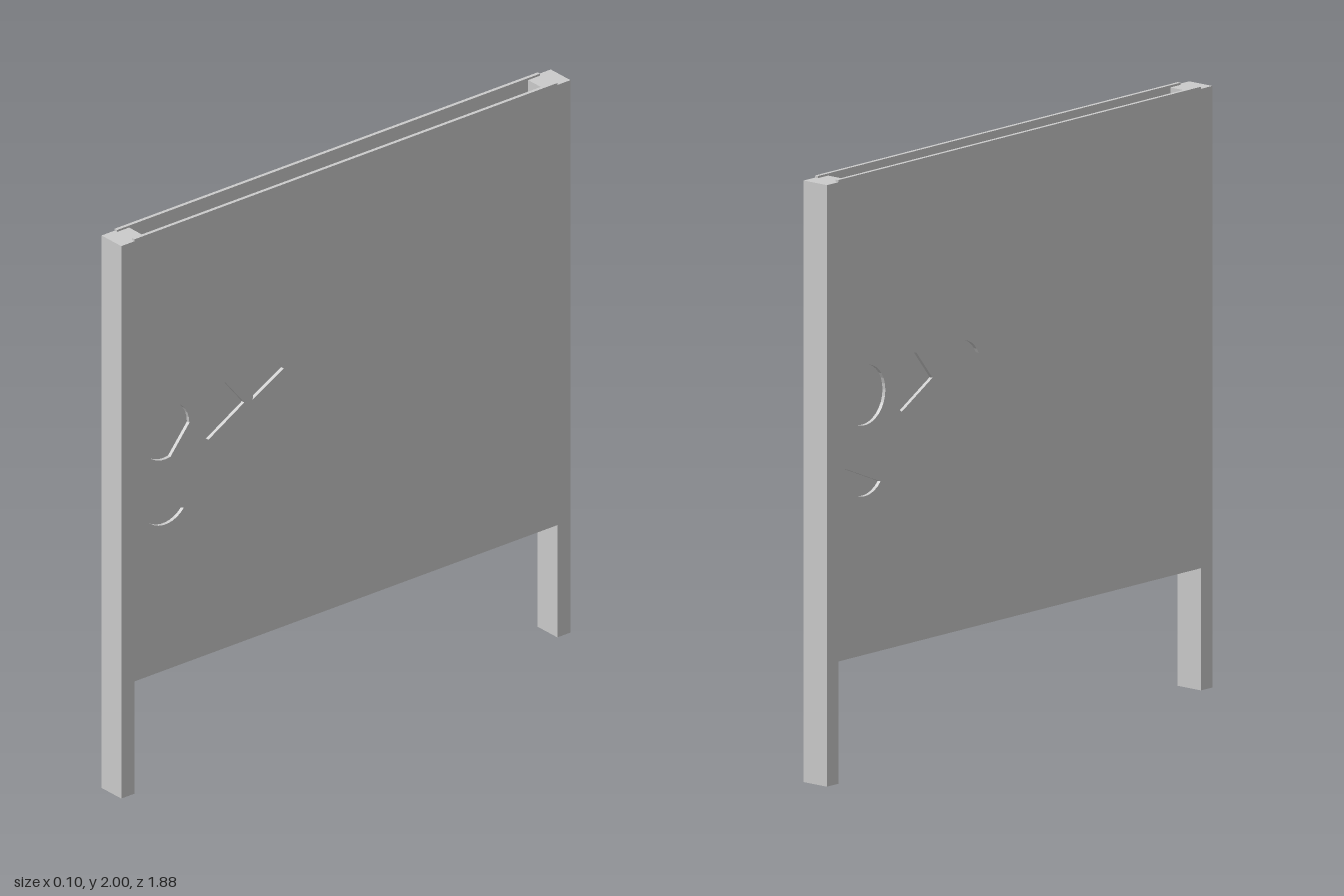
import * as THREE from 'three';

const HALF_X = 0.05, WALL = 0.0125;      // board half thickness, side sheet thickness
const END = 0.94, INNER = 0.885;         // outer end and inner face of the posts
const BOTTOM = 0.405, TOP = 2, POST_TOP = 1.993;
const RAD = Math.PI / 180;

const material = new THREE.MeshStandardMaterial({ color: 0xcccccc, flatShading: true });

function box(name, w, h, d, x, y, z) {
  const mesh = new THREE.Mesh(new THREE.BoxGeometry(w, h, d), material);
  mesh.name = name;
  mesh.position.set(x, y, z);
  return mesh;
}

// Cut-out bounded by an arc (degrees, counter-clockwise) and a straight chord,
// with optional extra corners along the chord
function cutout({ c, from, to, corners = [] }) {
  const points = [];
  const steps = Math.ceil((to - from) / 12);
  for (let i = 0; i <= steps; i++) {
    const a = (from + (to - from) * i / steps) * RAD;
    points.push(new THREE.Vector2(c[0] + 0.1 * Math.cos(a), c[1] + 0.1 * Math.sin(a)));
  }
  corners.forEach(([x, y]) => points.push(new THREE.Vector2(x, y)));
  return new THREE.Path(points);
}

// Side sheet facing +x, pierced by the given cut-outs
function sidePanel(name, cutouts) {
  const shape = new THREE.Shape([
    new THREE.Vector2(-INNER, BOTTOM), new THREE.Vector2(INNER, BOTTOM),
    new THREE.Vector2(INNER, TOP), new THREE.Vector2(-INNER, TOP),
  ]);
  shape.holes = cutouts.map(cutout);
  const geometry = new THREE.ExtrudeGeometry(shape, { depth: WALL, bevelEnabled: false });
  geometry.rotateY(Math.PI / 2).translate(HALF_X - WALL, 0, 0);
  const mesh = new THREE.Mesh(geometry, material);
  mesh.name = name;
  return mesh;
}

export function createModel() {
  const model = new THREE.Group();
  model.name = 'hollowBoard';

  // Cut-outs shared by both sides
  const shared = [
    { c: [-0.525, 1.265], from: 78, to: 240, corners: [[-0.425, 1.265]] },
    { c: [-0.755, 1.03], from: 175, to: 320 },
  ];

  // Two side sheets, each with its cut-outs at its own left
  model.add(sidePanel('rightPanel', [
    { c: [-0.755, 1.265], from: 0, to: 282 }, ...shared,
    { c: [-0.29, 1.265], from: 85, to: 180, corners: [[-0.26, 1.335]] },
  ]));
  const other = sidePanel('leftPanel', [
    { c: [-0.755, 1.265], from: 0, to: 348 }, ...shared,
    { c: [-0.29, 1.265], from: 25, to: 110 },
  ]);
  other.rotation.y = Math.PI;
  model.add(other);

  // Floor of the hollow
  const innerW = 2 * (HALF_X - WALL);
  model.add(box('bottomRail', innerW, 0.03, 2 * INNER, 0, BOTTOM + 0.015, 0));

  // Posts and the end blocks that close the hollow
  for (const s of [1, -1]) {
    const side = s > 0 ? 'front' : 'back';
    model.add(box(side + 'Post', 2 * HALF_X, POST_TOP, END - INNER, 0, POST_TOP / 2, s * (END + INNER) / 2));
    model.add(box(side + 'EndBlock', innerW, POST_TOP - BOTTOM - 0.03, 0.05,
      0, (POST_TOP + BOTTOM + 0.03) / 2, s * (INNER - 0.025)));
  }
  return model;
}
